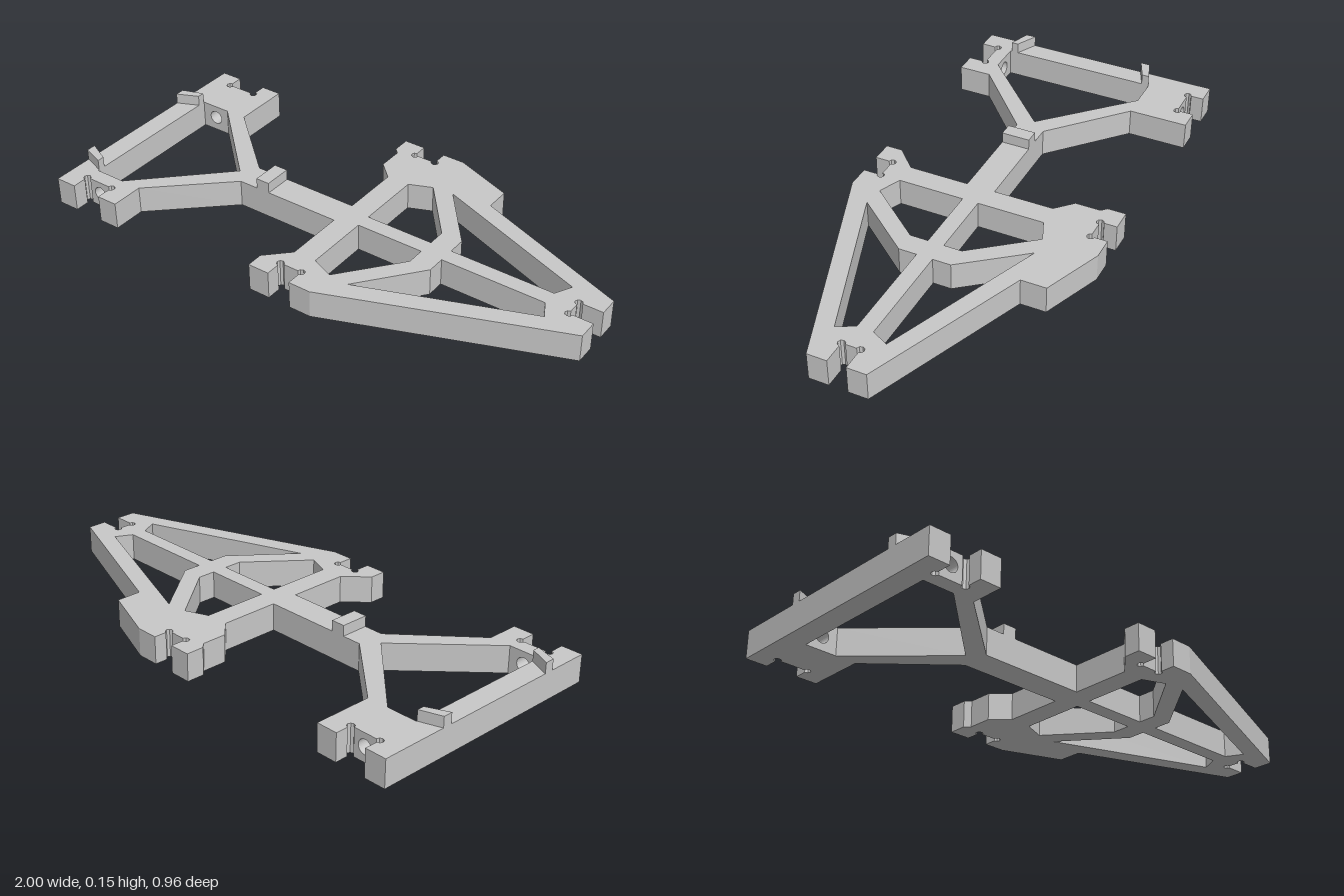
import * as THREE from 'three';

const H = 0.105;              // plate thickness
const R = 0.014;              // radius of the slot corner reliefs
const MID = 0.0465;           // centre line of the spine and nose, in z
const mirror = (pts) => pts.map(([x, z]) => [x, 2 * MID - z]).reverse();

// Upright prism from a plan outline of [x, z] points
function prism(name, material, outline, y0, height, holes = []) {
  const toVecs = (pts) => pts.map(([x, z]) => new THREE.Vector2(x, -z));
  const edge = toVecs(outline);
  // an anticlockwise outline keeps the window walls facing the right way
  if (THREE.ShapeUtils.isClockWise(edge)) edge.reverse();
  const shape = new THREE.Shape(edge);
  holes.forEach((h) => shape.holes.push(new THREE.Path(toVecs(h))));
  const geo = new THREE.ExtrudeGeometry(shape, { depth: height, bevelEnabled: false });
  geo.rotateX(-Math.PI / 2);
  geo.translate(0, y0, 0);
  const mesh = new THREE.Mesh(geo, material);
  mesh.name = name;
  return mesh;
}

// Three-quarter circle around a slot corner, starting at the given quarter turn
const cornerRelief = (x, z, quarter, dir) => Array.from({ length: 7 }, (_, i) => {
  const a = quarter * Math.PI / 2 + dir * i * Math.PI / 4;
  return [x + R * Math.cos(a), z + R * Math.sin(a)];
});
// Relief from the slot mouth (side s) round the wall (side d) to the floor
const relief = (x, floor, s, d) => cornerRelief(x, floor, s, -s * d);

// Block pierced front to back by a round hole
function piercedBlock(name, material, x0, x1, z0, z1) {
  const shape = new THREE.Shape();
  shape.moveTo(x0, 0).lineTo(x1, 0).lineTo(x1, H).lineTo(x0, H).closePath();
  const hole = new THREE.Path();
  hole.absarc(-0.857, 0.055, 0.027, 0, Math.PI * 2, true);
  shape.holes.push(hole);
  const geo = new THREE.ExtrudeGeometry(shape, { depth: z1 - z0, bevelEnabled: false, curveSegments: 16 });
  geo.translate(0, 0, z0);
  const mesh = new THREE.Mesh(geo, material);
  mesh.name = name;
  return mesh;
}

export function createModel() {
  const grey = new THREE.MeshStandardMaterial({ color: 0xc7c7c7 });
  grey.name = 'plain grey';
  const group = new THREE.Group();
  group.name = 'frame';

  // Cross bar at the far end, with feet beyond the slots
  const B = -0.917, F = -0.797;            // slot walls
  const rear = -0.416, front = 0.41;       // slot floors
  const rearIn = -0.252, frontIn = 0.353;  // inner faces of the pierced blocks
  group.add(prism('endBar', grey, [
    [-1, -0.479], [B, -0.479], ...relief(B, rear, -1, -1),
    [B + R, rearIn], [B, rearIn], [B, frontIn], [B + R, frontIn],
    ...relief(B, front, 1, -1).reverse(), [B, 0.479], [-1, 0.479],
  ], 0, H));
  group.add(piercedBlock('rearPiercedBlock', grey, B + R, F - R, rear, rearIn));
  group.add(piercedBlock('frontPiercedBlock', grey, B + R, F - R, frontIn, front));

  // Half of the nose slot with its round relief
  const nose = [[1, 0.012], ...cornerRelief(0.91, 0.012, 0, -1)];

  // Main body: forked arms, spine, wide cross member and tapering nose
  const L = -0.017, C = 0.071;             // sides of the wide cross member
  const body = [
    [F, -0.479], [-0.715, -0.479], [-0.715, -0.255], [-0.44, -0.007], [L, -0.007],
    [L, -0.235], [-0.08, -0.295], [-0.08, -0.39], [-0.1, -0.41], [-0.1, -0.479],
    [L, -0.479], ...relief(L, rear, -1, -1), ...relief(C, rear, -1, 1).reverse(),
    [C, -0.479], [0.157, -0.479], [0.387, -0.392], [0.387, -0.296], [1, -0.061],
    ...nose, ...mirror(nose),
    [1, 0.156], [0.157, 0.479], [C, 0.479],
    ...relief(C, front, 1, 1), ...relief(L, front, 1, -1).reverse(),
    [L, 0.479], [-0.1, 0.479], [-0.1, 0.416], [L, 0.333],
    [L, 0.102], [-0.44, 0.102], [-0.715, frontIn], [-0.715, 0.479], [F, 0.479],
    ...relief(F, front, 1, 1), [F - R, frontIn], [F, frontIn], [-0.487, 0.05],
    [F, rearIn], [F - R, rearIn], ...relief(F, rear, -1, 1).reverse(),
  ];
  // Windows between the nose beam, braces and rails
  const innerWindow = [[C, 0.016], [C, -0.238], [0.157, -0.273], [0.335, -0.053], [0.335, 0.016]];
  const outerWindow = [[0.418, 0.016], [0.418, -0.053], [0.237, -0.28], [0.853, -0.048], [0.82, 0.016]];
  group.add(prism('body', grey, body, 0, H,
    [innerWindow, outerWindow, mirror(innerWindow), mirror(outerWindow)]));

  // Raised locating ridges
  const up = 0.041;
  group.add(prism('rearRidge', grey, [[-1, -0.222], [B, -0.25], [B, -0.222], [-1, -0.185]], H, up));
  group.add(prism('frontRidge', grey, [[-1, 0.28], [B, 0.32], [B, 0.348], [-1, 0.318]], H, up));
  group.add(prism('spineRidge', grey, [[-0.365, -0.007], [-0.31, -0.007], [-0.31, 0.102], [-0.365, 0.102]], H, up));
  return group;
}
